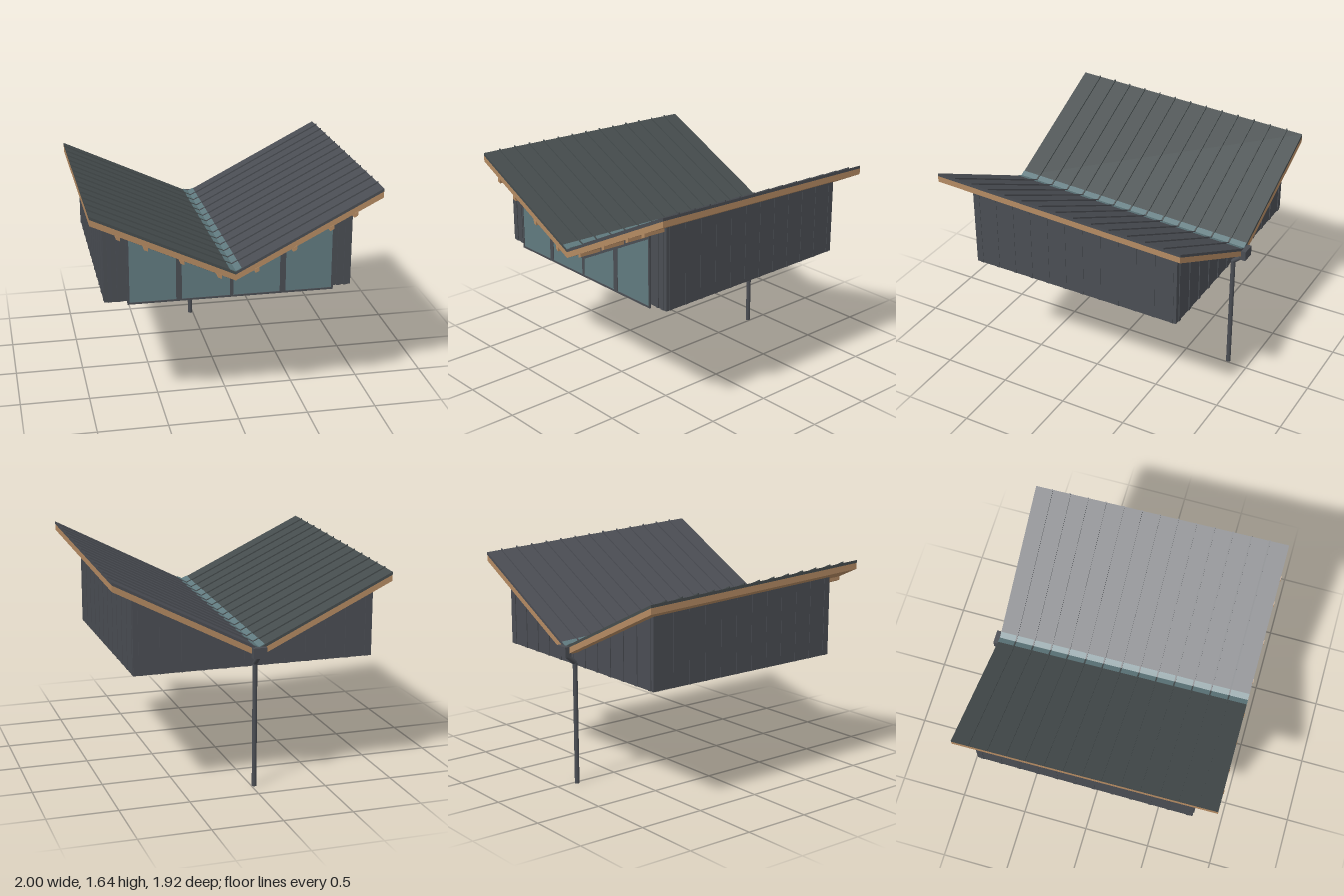
import * as THREE from 'three';

const VALLEY_X = -0.02, FRONT = 0.96, BACK = -0.925;

const mat = (name, color) => {
  const m = new THREE.MeshStandardMaterial({ color });
  m.name = name;
  return m;
};

// Height of the roof surface at the front edge, for a given x and depth below it
const roofY = (x, drop = 0) => 1.11 - drop + (x < VALLEY_X ? 0.474 : 0.517) * Math.abs(x - VALLEY_X);
// The whole roof falls gently towards the back
const fall = (z) => 0.04 * (z - FRONT);

export function createModel() {
  const group = new THREE.Group();
  const slate = mat('slate cladding', 0x4a4d53);
  const greenSlate = mat('green slate roofing', 0x454c4d);
  const wood = mat('timber', 0xb48a62);
  const teal = mat('teal glass', 0x607a7f);

  const toShape = (pts) => new THREE.Shape(pts.map(([x, y]) => new THREE.Vector2(x, y)));

  // Extrudes a front profile from z0 to z1, leaning everything above floor level with the roof
  const slab = (name, pts, z0, z1, material, holes = []) => {
    const shape = toShape(pts);
    shape.holes = holes.map(toShape);
    const geo = new THREE.ExtrudeGeometry(shape, { depth: z1 - z0, bevelEnabled: false });
    geo.translate(0, 0, z0);
    const p = geo.attributes.position;
    for (let i = 0; i < p.count; i++) {
      if (p.getY(i) > 0.9) p.setY(i, p.getY(i) + fall(p.getZ(i)));
    }
    geo.computeVertexNormals();
    const mesh = new THREE.Mesh(geo, material);
    mesh.name = name;
    group.add(mesh);
  };

  // Profile of a layer between two depths under the roof surface
  const layer = (x0, x1, top, bottom) => [
    [x0, roofY(x0, bottom)], [x1, roofY(x1, bottom)], [x1, roofY(x1, top)], [x0, roofY(x0, top)],
  ];
  // Profile standing on y0 and reaching up under the roof
  const upright = (x0, x1, y0, drop) => {
    const pts = [[x0, y0], [x1, y0], [x1, roofY(x1, drop)]];
    if (x0 < VALLEY_X && x1 > VALLEY_X) pts.push([VALLEY_X, roofY(VALLEY_X, drop)]);
    pts.push([x0, roofY(x0, drop)]);
    return pts;
  };

  // Butterfly roof: timber deck, metal sheet, standing seams and valley lining on each wing
  const wings = [
    { side: 'right', x0: -1, x1: VALLEY_X, v0: -0.06, v1: VALLEY_X, sheet: greenSlate },
    { side: 'left', x0: VALLEY_X, x1: 1, v0: VALLEY_X, v1: 0.02, sheet: slate },
  ];
  for (const { side, x0, x1, v0, v1, sheet } of wings) {
    slab(`${side} roof deck`, layer(x0, x1, 0.021, 0.065), BACK, FRONT, wood);
    slab(`${side} roof sheet`, layer(x0, x1, 0, 0.021), BACK, FRONT, sheet);
    slab(`${side} valley lining`, layer(v0, v1, -0.006, 0), BACK, FRONT, teal);
    for (let i = 0; i < 13; i++) {
      const z = -0.8 + i * 0.135;
      slab(`${side} roof seam`, layer(x0, x1, -0.011, 0), z - 0.005, z + 0.005, sheet);
    }
  }

  // Purlin tails under the front overhang
  for (const x of [-0.815, -0.63, -0.385, -0.13, 0.13, 0.39, 0.645, 0.81]) {
    slab('purlin tail', layer(x - 0.013, x + 0.013, 0.06, 0.09), 0.79, 0.964, wood);
  }

  // House body
  slab('house body', upright(-0.9, 0.84, 0.88, 0.065), -0.825, 0.79, slate);

  // Cladding battens on the back, the sides and beside the windows
  for (let i = 0; i < 12; i++) {
    const x = -0.86 + i * 0.15;
    if (x < 0.84) slab('back batten', upright(x - 0.014, x + 0.014, 0.88, 0.068), -0.831, -0.825, slate);
    const z = -0.79 + i * 0.14;
    slab('left side batten', upright(0.84, 0.843, 0.88, 0.068), z - 0.012, z + 0.012, slate);
    slab('right side batten', upright(-0.903, -0.9, 0.88, 0.068), z - 0.012, z + 0.012, slate);
  }
  for (const x of [-0.86, -0.8, 0.75, 0.8]) {
    slab('front batten', upright(x - 0.012, x + 0.012, 0.88, 0.068), 0.79, 0.796, slate);
  }

  // Window wall: one frame with four sloping panes
  const panes = [[-0.73, -0.407], [-0.368, -0.03], [-0.008, 0.323], [0.364, 0.692]]
    .map(([a, b]) => upright(a, b, 0.878, 0.107));
  slab('window frame', upright(-0.745, 0.705, 0.865, 0.09), 0.808, 0.822, slate, panes);
  for (const pane of panes) slab('window pane', pane, 0.811, 0.818, teal);

  // Rainwater hopper and downpipe behind the valley
  const hopper = new THREE.Mesh(new THREE.BoxGeometry(0.1, 0.075, 0.05), slate);
  hopper.name = 'rain hopper';
  hopper.position.set(VALLEY_X, 1.003, -0.935);
  group.add(hopper);
  const pipe = (name, a, b) => {
    const dir = b.clone().sub(a);
    const mesh = new THREE.Mesh(new THREE.CylinderGeometry(0.017, 0.017, dir.length(), 12), slate);
    mesh.name = name;
    mesh.position.copy(a).add(b).multiplyScalar(0.5);
    mesh.quaternion.setFromUnitVectors(new THREE.Vector3(0, 1, 0), dir.normalize());
    group.add(mesh);
  };
  const elbow = new THREE.Vector3(VALLEY_X, 0.905, -0.845);
  pipe('downpipe', new THREE.Vector3(VALLEY_X, 0, -0.845), elbow);
  pipe('offset pipe', elbow, new THREE.Vector3(VALLEY_X, 0.98, -0.935));

  return group;
}
